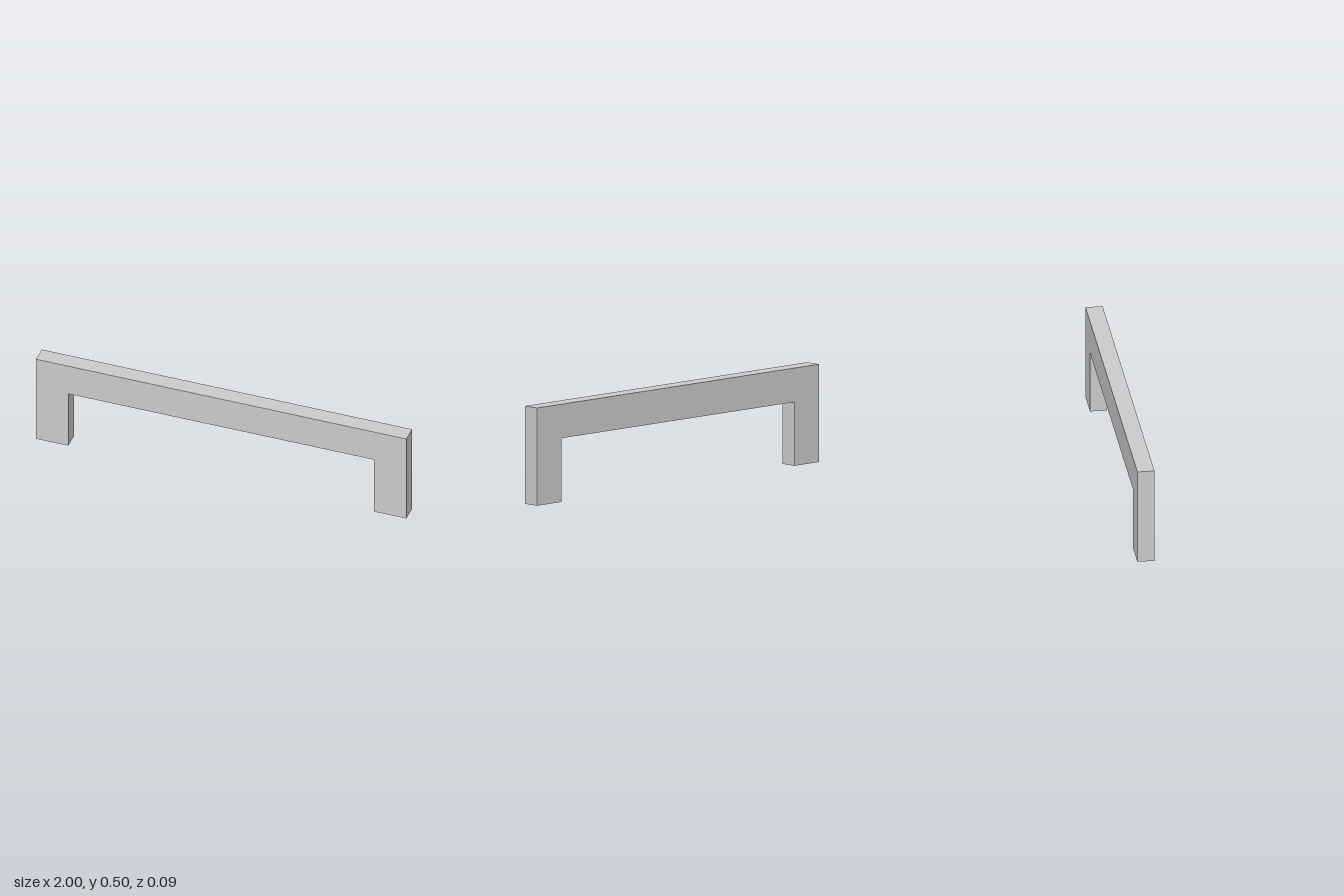
import * as THREE from 'three';

const HALF = 1;        // half of the overall length
const HEIGHT = 0.503;
const BAR = 0.175;     // width of the legs and of the crossbar
const DEPTH = 0.088;

export function createModel() {
  const group = new THREE.Group();
  group.name = 'barHandle';

  // U-shaped outline: two legs joined by a crossbar
  const inner = HALF - BAR;
  const under = HEIGHT - BAR;
  const outline = new THREE.Shape([
    [-HALF, 0], [-inner, 0], [-inner, under], [inner, under],
    [inner, 0], [HALF, 0], [HALF, HEIGHT], [-HALF, HEIGHT],
  ].map(([x, y]) => new THREE.Vector2(x, y)));

  // One solid, sharp-edged piece centred on z = 0
  const geometry = new THREE.ExtrudeGeometry(outline, { depth: DEPTH, bevelEnabled: false });
  geometry.translate(0, 0, -DEPTH / 2);

  const frame = new THREE.Mesh(geometry, new THREE.MeshStandardMaterial({ color: 0xcccccc }));
  frame.name = 'handleFrame';
  group.add(frame);
  return group;
}
